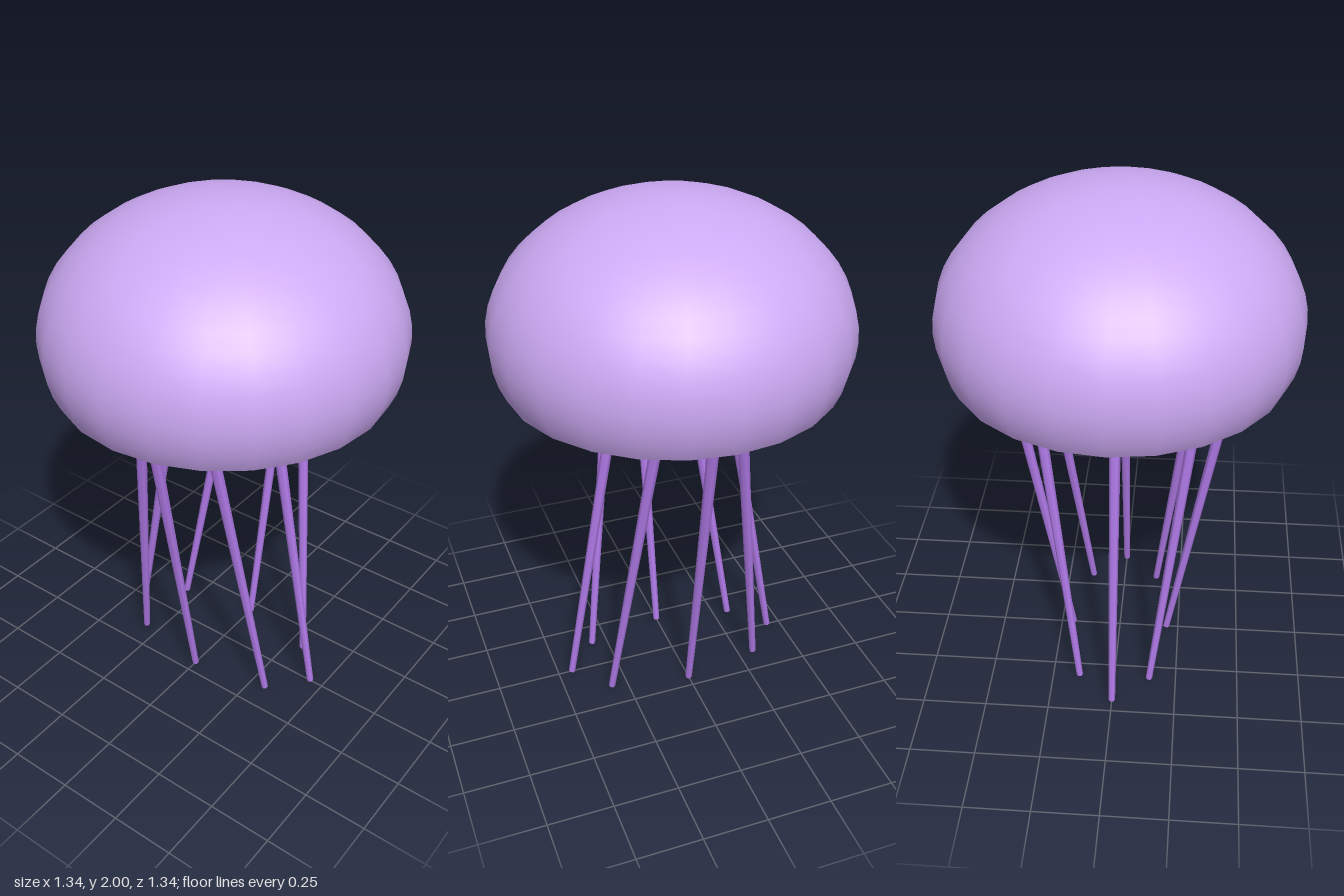
import * as THREE from 'three';

export function createModel() {
  const model = new THREE.Group();
  model.name = 'jellyfish';

  // Open bell: flattened sphere cut a little below its equator
  const bellMaterial = new THREE.MeshStandardMaterial({ color: 0xcdaaf5, side: THREE.DoubleSide });
  const bell = new THREE.Mesh(
    new THREE.SphereGeometry(0.67, 24, 16, 0, Math.PI * 2, 0, Math.PI * 0.62),
    bellMaterial
  );
  bell.name = 'bell';
  bell.scale.y = 0.75;
  bell.position.y = 1.4975;
  model.add(bell);

  // Ring of eight tapered tentacles, tilted outward in x and inward in z
  const tentacleMaterial = new THREE.MeshStandardMaterial({ color: 0xb07ae8 });
  const tentacleGeometry = new THREE.CylinderGeometry(0.0235, 0.0134, 1.4, 6);
  const tentacles = new THREE.Group();
  tentacles.name = 'tentacles';
  const count = 8, ringRadius = 0.322, tilt = 0.175;
  for (let i = 0; i < count; i++) {
    const angle = (i / count) * Math.PI * 2;
    const c = Math.cos(angle), s = Math.sin(angle);
    const tentacle = new THREE.Mesh(tentacleGeometry, tentacleMaterial);
    tentacle.name = `tentacle${i + 1}`;
    tentacle.position.set(c * ringRadius, 0.692, s * ringRadius);
    tentacle.rotation.set(s * tilt, 0, c * tilt);
    tentacles.add(tentacle);
  }
  model.add(tentacles);

  return model;
}
